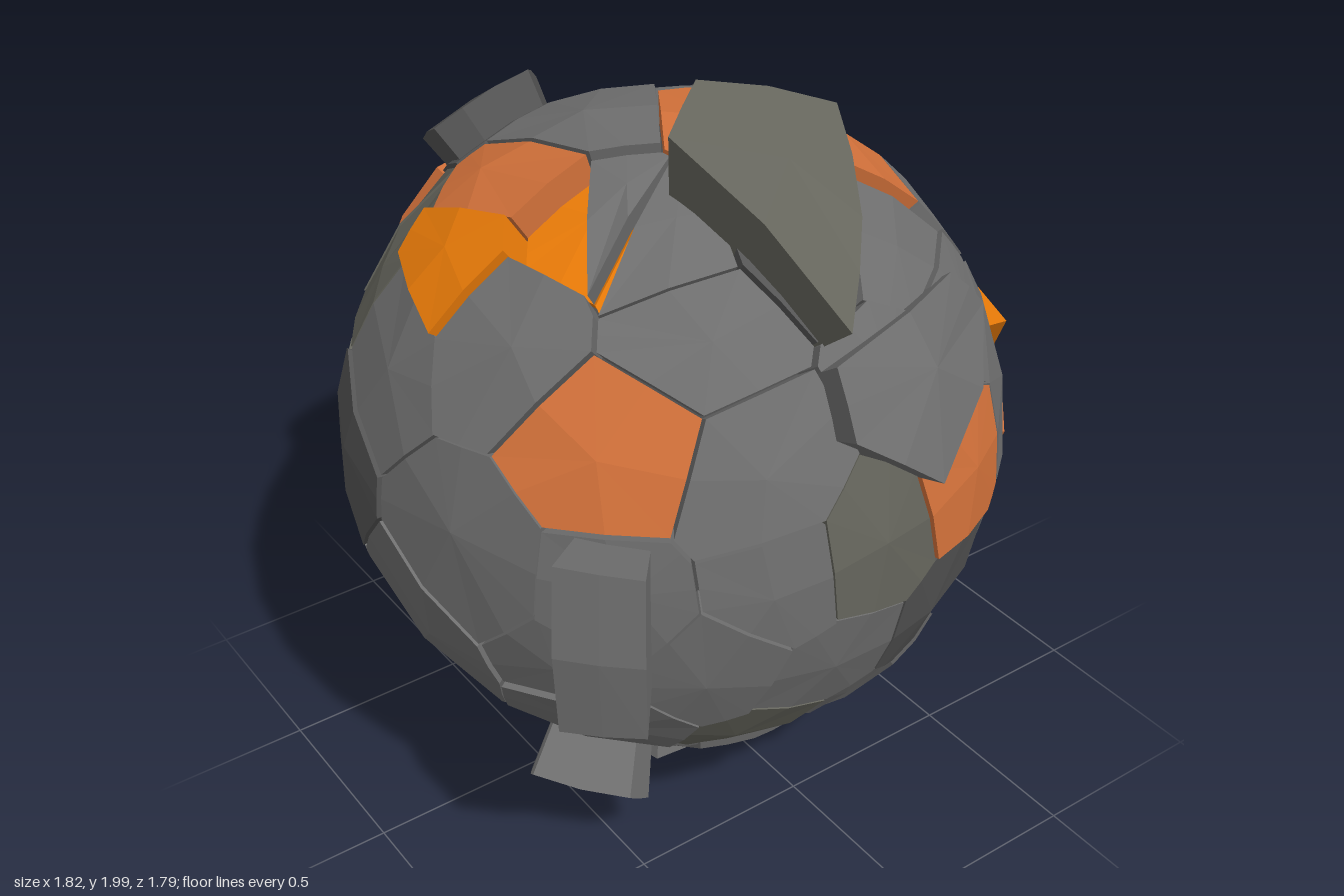
import * as THREE from 'three';

const R = 0.87;
const INNER = R * 0.82;
const V = (x, y, z) => new THREE.Vector3(x, y, z);
const mat = (color) => new THREE.MeshStandardMaterial({ color, flatShading: true });

// plate kinds: g grey, k dark grey, b olive, o orange, L glowing seam
const KINDS = {
  g: { name: 'greyPlate', color: 0x6e6e6e, r: 1 },
  k: { name: 'darkPlate', color: 0x545454, r: 1 },
  b: { name: 'olivePlate', color: 0x65655c, r: 1 },
  o: { name: 'orangePlate', color: 0xd2713a, r: 1 },
  L: { name: 'glowingSeam', color: 0xe87a08, r: 0.93 },
};

// each region: outward direction, then plates as [across, up, kind, radius];
// with [..., block size, block kind] a block of that radius stands on the plate
const REGIONS = {
  frontPlates: { dir: V(0, 0, 1), plates: [
    [0.30, -0.32, 'k'], [0.35, 0.20, 'o'], [0.20, 0.48, 'g'], [-0.04, 0.11, 'b'],
    [-0.31, 0.08, 'g'], [-0.12, -0.32, 'g'], [-0.63, 0.45, 'o'], [-0.70, 0.02, 'g'],
    [-0.93, 0.05, 'g'], [-0.48, -0.20, 'g'], [-0.76, -0.25, 'g'], [0.74, 0.20, 'g'],
    [0.68, -0.29, 'L'], [0.70, -0.60, 'g'], [-0.66, -0.48, 'g'], [-0.21, -0.62, 'b'],
    [0.22, -0.71, 'k'], [0.03, -0.66, 'L'], [-0.53, -0.76, 'k', 1.15, 0.52, 'g'],
    [-0.33, 0.35, 'g'], [-0.36, 0.72, 'g'], [0.03, 0.85, 'k'], [0.36, 0.70, 'L'], [0.45, 0.54, 'g'],
  ] },
  sidePlates: { dir: V(1, 0, 0), plates: [
    [-0.19, 0.38, 'b'], [0.30, 0.50, 'g'], [0.30, 0.17, 'g'], [0.18, -0.08, 'k'],
    [0.63, -0.02, 'k'], [0.48, -0.50, 'o'], [-0.10, -0.35, 'k'], [-0.13, -0.62, 'g'],
    [-0.16, 0.02, 'L', 1.09, 0.92, 'L'], [-0.34, -0.10, 'o', 1.02], [0.36, -0.74, 'k'],
    [-0.12, 0.64, 'g'], [0.36, 0.75, 'g'], [0.82, -0.13, 'L'],
  ] },
  topPlates: { dir: V(0, 1, 0), plates: [
    [0.20, -0.06, 'o'], [0.57, -0.09, 'o'], [-0.19, 0.19, 'g'], [-0.68, 0.05, 'L', 1.03],
    [-0.46, 0.13, 'o'], [-0.45, -0.20, 'L'], [-0.33, -0.42, 'L'], [-0.70, -0.25, 'g'],
    [0.15, 0.48, 'g'], [0.37, 0.65, 'g'], [0.20, 0.79, 'g'], [-0.53, 0.65, 'b'],
    [-0.19, 0.65, 'k', 1.12, 0.9, 'k'], [0.71, 0.63, 'g', 1.12, 0.6, 'b'],
  ] },
  backPlates: { dir: V(-0.62, 0.47, -0.62), plates: [
    [-0.62, -0.07, 'o', 1.04], [-0.34, 0.09, 'o', 1.03], [0.10, -0.34, 'L', 0.99, 0.55, 'b'],
    [0.13, 0.10, 'b'], [-0.35, -0.68, 'o'], [0.56, -0.75, 'o'], [0.72, -0.58, 'g'],
    [-0.59, -0.38, 'g'], [0.50, 0.10, 'g'], [0.40, -0.38, 'k'],
    [-0.10, -0.80, 'k', 1.06, 0.7, 'k'], [0.25, -0.65, 'g'], [-0.62, 0.28, 'g'],
    [-0.15, -0.48, 'g'],
  ] },
  lowerBackPlates: { dir: V(0.62, -0.47, -0.62), plates: [
    [0.35, -0.12, 'g'], [0.31, -0.55, 'L', 0.99, 0.6, 'k'], [0.60, -0.45, 'g'], [-0.30, -0.75, 'g'],
  ] },
  bottomPlates: { dir: V(0, -1, 0), plates: [
    [-0.08, 0.05, 'g', 1.12, 1.15, 'g'], [-0.40, 0.10, 'g'], [-0.05, 0.38, 'k'], [-0.30, -0.40, 'o'],
  ] },
};

// displaced blocks given by the outer corners of their face
const BLOCKS = [
  { name: 'wedgeBlock', kind: 'b', outline: [
    V(-0.22, 0.97, 0.3), V(-0.07, 0.64, 0.78), V(0.1, 0.8, 0.6), V(0.25, 0.94, 0.32), V(-0.05, 1.02, 0.17)] },
  { name: 'tiltedFrontBlock', kind: 'g', outline: [
    V(-0.1, 0.56, 0.77), V(-0.11, 0.41, 0.86), V(0.13, 0.23, 0.9), V(0.57, 0.4, 0.54), V(0.43, 0.54, 0.56)] },
  { name: 'cornerBlock', kind: 'g', outline: [
    V(-0.78, -0.23, 0.65), V(-0.63, -0.23, 0.79), V(-0.63, 0.22, 0.79), V(-0.78, 0.24, 0.65)] },
];

// place a point given in a region's own plane onto the unit sphere
function lift(dir, u, v) {
  const d = dir.clone().normalize();
  const pole = Math.abs(d.y) > 0.99 ? V(0, 0, -d.y) : V(0, 1, 0);
  const right = pole.clone().cross(d).normalize();
  const up = d.clone().cross(right);
  const w = Math.sqrt(Math.max(0, 1 - u * u - v * v));
  return right.multiplyScalar(u).addScaledVector(up, v).addScaledVector(d, w).normalize();
}

// polygon around a seed, cut by the bisector with every other seed
function cellAround(seed, seeds) {
  const t1 = V(0.3, 0.5, 0.8).cross(seed).normalize();
  const t2 = seed.clone().cross(t1);
  let poly = [[-1, -1], [1, -1], [1, 1], [-1, 1]].map(([a, b]) =>
    seed.clone().addScaledVector(t1, a * 0.7).addScaledVector(t2, b * 0.7));
  for (const other of seeds) {
    if (other === seed) continue;
    const n = seed.clone().sub(other).normalize();
    const next = [];
    poly.forEach((p, i) => {
      const q = poly[(i + 1) % poly.length];
      const dp = p.dot(n) - 0.005, dq = q.dot(n) - 0.005;
      if (dp >= 0) next.push(p);
      if (dp * dq < 0) next.push(p.clone().lerp(q, dp / (dp - dq)));
    });
    poly = next;
  }
  return poly.map((p) => p.normalize());
}

// average direction of some points, at their average distance
function middle(points) {
  const length = points.reduce((s, p) => s + p.length(), 0) / points.length;
  return points.reduce((s, p) => s.add(p), V(0, 0, 0)).setLength(length);
}

// faceted shell piece: domed outside, radial walls down to the core
function plateGeometry(cell, outer) {
  const centre = middle(cell);
  const rim = cell.flatMap((p, i) => [p, middle([p, cell[(i + 1) % cell.length]])]);
  const pos = [];
  const tri = (...pts) => pts.forEach((p) => pos.push(p.x, p.y, p.z));
  const at = (p, r) => p.clone().multiplyScalar(r);
  rim.forEach((p, i) => {
    const q = rim[(i + 1) % rim.length];
    tri(at(centre, outer), at(p, outer), at(q, outer));
    tri(at(p, INNER), at(q, INNER), at(q, outer));
    tri(at(p, INNER), at(q, outer), at(p, outer));
  });
  const geo = new THREE.BufferGeometry();
  geo.setAttribute('position', new THREE.Float32BufferAttribute(pos, 3));
  geo.computeVertexNormals();
  return geo;
}

export function createModel() {
  const model = new THREE.Group();
  model.name = 'crackedSphere';
  const ball = new THREE.Group();
  ball.name = 'shell';
  ball.position.set(-0.05, 0.98, 0);
  model.add(ball);

  const materials = {};
  for (const k in KINDS) materials[k] = mat(KINDS[k].color);

  const addPiece = (parent, name, kind, cell, outer) => {
    const mesh = new THREE.Mesh(plateGeometry(cell, outer), materials[kind]);
    mesh.name = name;
    parent.add(mesh);
  };

  // solid core seen through the cracks
  const core = new THREE.Mesh(new THREE.IcosahedronGeometry(R * 0.9, 3), mat(0x4a4a4a));
  core.name = 'core';
  ball.add(core);

  const lifted = Object.values(REGIONS).map(({ dir, plates }) =>
    plates.map(([u, v]) => lift(dir, u, v)));
  const seeds = lifted.flat();

  Object.entries(REGIONS).forEach(([region, { plates }], g) => {
    const group = new THREE.Group();
    group.name = region;
    ball.add(group);
    plates.forEach(([, , kind, radius, size, blockKind], i) => {
      // plate, at a slightly uneven height
      const seed = lifted[g][i];
      const cell = cellAround(seed, seeds);
      const uneven = (((i * 7) % 5) - 2) * 0.005;
      const plateRadius = radius && !size ? radius : KINDS[kind].r + uneven;
      addPiece(group, KINDS[kind].name, kind, cell, R * plateRadius);
      if (size) {
        // block or inset on the plate
        const blockCell = cell.map((p) => seed.clone().lerp(p, size).normalize());
        addPiece(group, 'raisedBlock', blockKind, blockCell, R * radius);
      } else if (kind === 'L' && !radius) {
        // broken shard filling part of an open seam
        addPiece(group, 'seamShard', 'g', cell.slice(0, Math.ceil(cell.length / 2) + 1), R * 0.985);
      }
    });
  });

  for (const { name, kind, outline } of BLOCKS) addPiece(ball, name, kind, outline, 1);
  return model;
}
